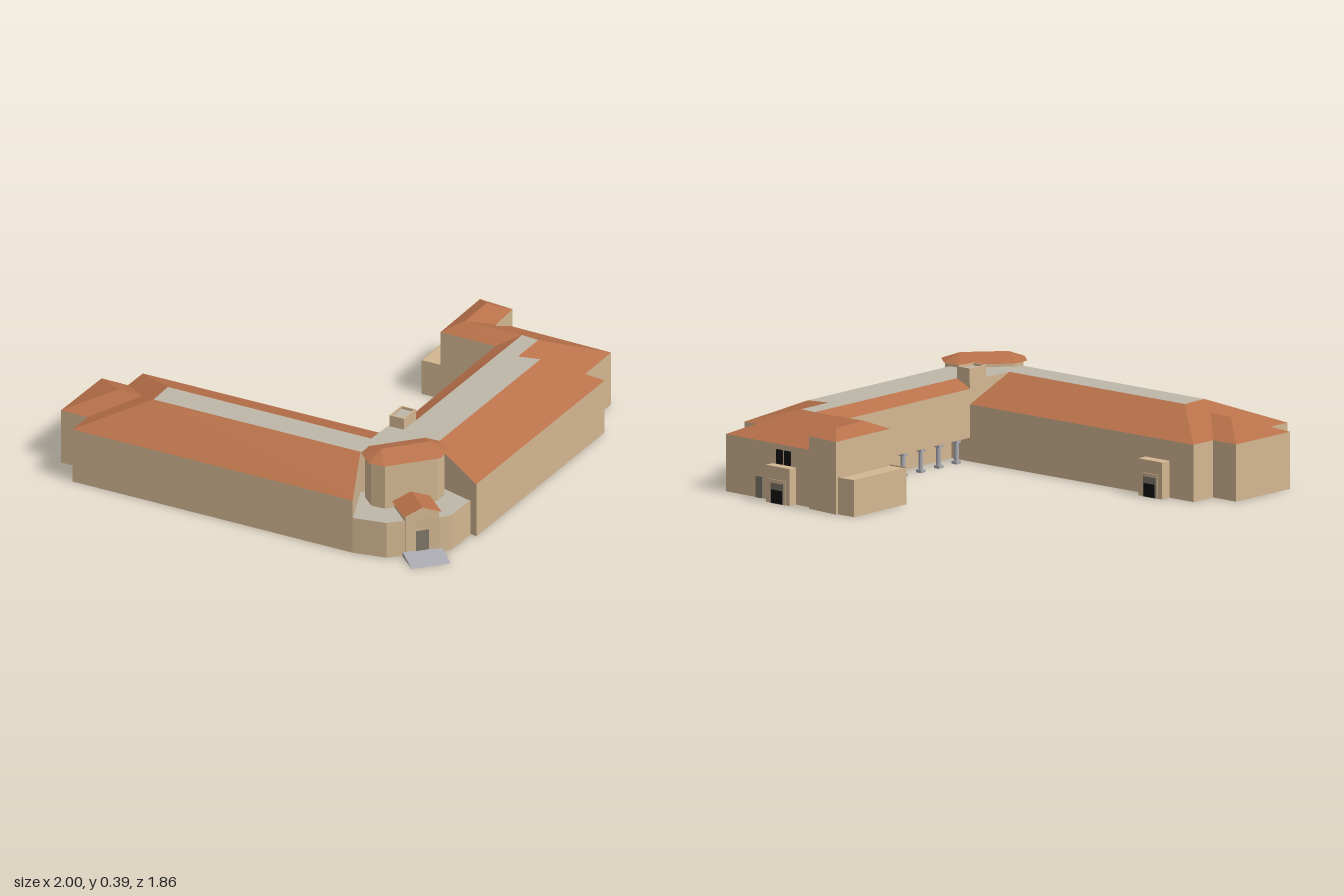
import * as THREE from 'three';

const mat = (color) => new THREE.MeshStandardMaterial({ color, flatShading: true, side: THREE.DoubleSide });
const WALL = mat(0xd2b691), TILE = mat(0xb8714a), DECK = mat(0xbdb7a9), STONE = mat(0xaaaab0),
  DARK = mat(0x111111), DOOR = mat(0x7d7668);
const EAVE = 0.24, HIGH = 0.305, TOP = 0.34, FLOOR = 0.1, LOW = 0.16, TURN = 0.225;

// Plan corners [x, z]
const A = { nw: [-1, -0.714], ne: [-0.433, -0.837], sw: [-0.706, 0.57], se: [-0.155, 0.34],
  f1: [-0.722, -0.516], f2: [-0.599, -0.548], f3: [-0.503, 0.43], f4: [-0.385, 0.382] };
const E = { nw: [-0.904, -0.864], ne: [-0.578, -0.933], sw: [-0.877, -0.741], se: [-0.551, -0.81],
  r1: [-0.7, -0.73], r2: [-0.679, -0.618] };
const B = { sw: [-0.257, 0.848], se: [0.791, 0.612], ne: [0.77, 0.516], in: [0.626, 0.158],
  g1: [-0.246, 0.612], g2: [0.61, 0.42], g3: [0.567, 0.334], g4: [0.733, 0.297], g5: [0.722, 0.217], g6: [-0.144, 0.41] };
const C = { se: [0.995, 0.463], ne: [0.88, -0.08] };
const D = { nw: [0.567, -0.094], ne: [0.898, -0.174], se: [0.92, -0.013], sw: [0.77, 0.029],
  r1: [0.658, -0.04], r2: [0.834, -0.083] };

const at = (p, y) => [p[0], y, p[1]];

// Convex faces, each a list of [x, y, z] corners, as one mesh
function panels(parent, name, material, faces) {
  const pos = [];
  for (const f of faces)
    for (let i = 1; i < f.length - 1; i++) pos.push(...f[0], ...f[i], ...f[i + 1]);
  const g = new THREE.BufferGeometry();
  g.setAttribute('position', new THREE.Float32BufferAttribute(pos, 3));
  g.computeVertexNormals();
  return add(parent, name, g, material);
}

function add(parent, name, geometry, material, x = 0, y = 0, z = 0) {
  const m = new THREE.Mesh(geometry, material);
  m.name = name;
  m.position.set(x, y, z);
  parent.add(m);
  return m;
}

const box = (parent, name, material, w, h, d, x, y, z) =>
  add(parent, name, new THREE.BoxGeometry(w, h, d), material, x, y, z);

// Upright wall along a path of [corner, top height]
function walls(parent, name, path, base = 0) {
  const faces = [];
  for (let i = 0; i < path.length - 1; i++) {
    const [p, a] = path[i], [q, b] = path[i + 1];
    faces.push([at(p, base), at(q, base), at(q, b), at(p, a)]);
  }
  return panels(parent, name, WALL, faces);
}

// Level surface over any outline
function deck(parent, name, material, outline, y) {
  const s = new THREE.Shape(outline.map(([x, z]) => new THREE.Vector2(x, z)));
  return add(parent, name, new THREE.ShapeGeometry(s).rotateX(Math.PI / 2), material, 0, y, 0);
}

function group(parent, name, x, z, turn) {
  const g = new THREE.Group();
  g.name = name;
  g.position.set(x, 0, z);
  g.rotation.y = turn;
  parent.add(g);
  return g;
}

// Low entrance block with a doorway in its outer face
function entrance(parent, name, x, z) {
  const g = group(parent, name, x, z, TURN);
  box(g, 'entranceBlock', WALL, 0.06, 0.155, 0.13, 0, 0.0775, 0);
  box(g, 'doorFrame', WALL, 0.006, 0.1, 0.084, 0.031, 0.05, 0);
  box(g, 'doorway', DOOR, 0.006, 0.086, 0.068, 0.033, 0.043, 0);
  box(g, 'doorGlass', DARK, 0.006, 0.055, 0.058, 0.035, 0.03, 0);
  return g;
}

// Chamfered oblong outline
function octagon(w, d, c) {
  return [[-w + c, -d], [w - c, -d], [w, -d + c], [w, d - c], [w - c, d], [-w + c, d], [-w, d - c], [-w, -d + c]];
}

export function createModel() {
  const model = new THREE.Group();
  model.name = 'building';

  // Long wing and its rear extension
  walls(model, 'longWingWalls', [[A.f3, TOP], [A.sw, EAVE], [A.nw, EAVE], [E.sw, EAVE], [E.nw, EAVE],
    [E.ne, EAVE], [E.se, EAVE], [A.ne, EAVE], [A.se, EAVE], [[-0.133, 0.44], EAVE]]);
  panels(model, 'longWingRoof', TILE, [
    [at(A.sw, EAVE), at(A.nw, EAVE), at(A.f1, TOP), at(A.f3, TOP)],
    [at(A.nw, EAVE), at(A.ne, EAVE), at(A.f2, TOP), at(A.f1, TOP)],
    [at(A.ne, EAVE), at(A.se, EAVE), at(A.f4, TOP), at(A.f2, TOP)]]);
  panels(model, 'extensionRoof', TILE, [
    [at(E.nw, EAVE), at(E.ne, EAVE), at(E.r1, HIGH)],
    [at(E.sw, EAVE), at(E.nw, EAVE), at(E.r1, HIGH), at(E.r2, HIGH)],
    [at(E.ne, EAVE), at(E.se, EAVE), at(E.r2, HIGH), at(E.r1, HIGH)]]);

  // Front wing and short end wing
  walls(model, 'frontWingWalls', [[A.f3, TOP], [B.g1, TOP], [B.sw, EAVE], [B.se, EAVE], [B.ne, EAVE],
    [C.se, EAVE], [C.ne, EAVE]]);
  walls(model, 'endBlockWalls', [[[0.648, 0.255], FLOOR], [B.in, HIGH], [D.nw, HIGH], [D.ne, HIGH], [D.se, HIGH]]);
  walls(model, 'endBlockSideWall', [[D.se, HIGH], [D.sw, HIGH]], 0.2);
  walls(model, 'endBlockSideBase', [[D.se, 0.2], [[0.897, -0.005], 0.2]]);
  walls(model, 'junctionWall', [[A.f4, TOP], [A.se, TOP], [B.g6, TOP]], EAVE);
  panels(model, 'frontWingRoof', TILE, [
    [at(B.sw, EAVE), at(B.se, EAVE), at(B.g2, TOP), at(B.g1, TOP)],
    [at(B.se, EAVE), at(B.ne, EAVE), at(B.g3, TOP), at(B.g2, TOP)],
    [at(A.se, HIGH), at(B.g6, TOP), at(B.g5, TOP), at(B.in, HIGH)]]);
  panels(model, 'endWingRoof', TILE, [
    [at(B.ne, EAVE), at(C.se, EAVE), at(B.g4, TOP), at(B.g3, TOP)],
    [at(C.se, EAVE), at(C.ne, EAVE), at(D.r1, TOP), at(B.g5, TOP), at(B.g4, TOP)],
    [at(B.in, HIGH), at(B.g5, TOP), at(D.r1, TOP), at(D.nw, HIGH)],
    [at(D.nw, HIGH), at(D.r1, TOP), at(D.r2, TOP), at(D.ne, HIGH)],
    [at(D.ne, HIGH), at(D.r2, TOP), at(D.se, HIGH)],
    [at(D.se, HIGH), at(D.r2, TOP), at(D.r1, TOP), at(D.sw, HIGH)]]);
  deck(model, 'flatRoof', DECK, [A.f1, A.f2, A.f4, A.se, B.g6, B.g5, B.g4, B.g3, B.g2, B.g1, A.f3], TOP);

  // Upper floor carried over an arcade of columns
  const back = [[-0.133, 0.44], [0.648, 0.255]];
  walls(model, 'upperFloorWall', [[A.se, HIGH], [B.in, HIGH]], FLOOR);
  walls(model, 'arcadeBackWall', [[back[0], FLOOR], [back[1], FLOOR]]);
  deck(model, 'arcadeCeiling', WALL, [A.se, B.in, back[1], back[0]], FLOOR);
  const shaft = new THREE.CylinderGeometry(0.01, 0.01, FLOOR, 10);
  const cap = new THREE.BoxGeometry(0.028, 0.012, 0.028);
  for (let i = 0; i < 7; i++) {
    const t = (i + 0.6) / 7.2;
    const g = group(model, 'column', THREE.MathUtils.lerp(A.se[0], B.in[0], t) + 0.004,
      THREE.MathUtils.lerp(A.se[1], B.in[1], t) + 0.016, TURN);
    add(g, 'columnShaft', shaft, STONE, 0, FLOOR / 2, 0);
    add(g, 'columnBase', cap, STONE, 0, 0.006, 0);
    add(g, 'columnCapital', cap, STONE, 0, FLOOR - 0.006, 0);
  }

  // Terrace behind the end block
  const T = [D.nw, [0.545, -0.18], [0.866, -0.254], [0.888, -0.174]];
  walls(model, 'terraceWalls', T.map((p) => [p, 0.155]));
  deck(model, 'terraceTop', WALL, T, 0.15);

  // Entrances and the windows over the end wing's door
  entrance(model, 'longWingEntrance', -0.372, -0.652);
  const side = entrance(model, 'endWingEntrance', 0.938, 0.145);
  for (const s of [-1, 1]) box(side, 'upperWindow', DARK, 0.01, 0.06, 0.032, -0.008, 0.188, s * 0.022);
  const rear = group(model, 'sideDoor', 0.957, 0.28, TURN);
  box(rear, 'sideDoorPanel', DOOR, 0.008, 0.09, 0.035, 0, 0.045, 0);

  // Chimney block with a sunken top
  const ch = group(model, 'chimney', -0.195, 0.385, TURN);
  box(ch, 'chimneyCore', DECK, 0.085, 0.045, 0.06, 0, 0.3575, 0);
  for (const s of [-1, 1]) {
    box(ch, 'chimneySide', WALL, 0.1, 0.06, 0.006, 0, 0.36, s * 0.031);
    box(ch, 'chimneyEnd', WALL, 0.006, 0.06, 0.062, s * 0.047, 0.36, 0);
  }

  // Low corner rooms with a flat roof
  const L = [A.sw, [-0.647, 0.703], [-0.583, 0.746], [-0.465, 0.832], [-0.412, 0.853], [-0.26, 0.82]];
  walls(model, 'cornerWalls', L.map((p) => [p, LOW]));
  deck(model, 'cornerRoof', DECK, [...L, B.g1, A.f3], LOW - 0.006);

  // Corner tower with a hipped roof
  const tower = group(model, 'cornerTower', -0.406, 0.586, -0.52);
  const wallRing = octagon(0.158, 0.086, 0.045);
  walls(tower, 'towerWalls', [...wallRing, wallRing[0]].map((p) => [p, 0.357]));
  const ring = octagon(0.172, 0.098, 0.05);
  const peak = (p) => [Math.sign(p[0]) * 0.1, 0.387, 0];
  panels(tower, 'towerRoof', TILE, ring.map((p, i) => {
    const q = ring[(i + 1) % 8];
    const f = [at(p, 0.355), at(q, 0.355), peak(q)];
    return p[0] * q[0] < 0 ? [...f, peak(p)] : f;
  }));

  // Gabled porch with door and ramp
  const W = 0.072, F = 0.232;
  panels(tower, 'porchWalls', WALL, [
    [[-W, 0, F], [W, 0, F], [W, 0.185, F], [0, 0.213, F], [-W, 0.185, F]],
    ...[-W, W].map((x) => [[x, 0, 0.08], [x, 0, F], [x, 0.185, F], [x, 0.185, 0.08]])]);
  panels(tower, 'porchRoof', TILE, [-1, 1].map((s) =>
    [[0, 0.216, 0.08], [0, 0.216, F + 0.008], [s * 0.082, 0.183, F + 0.008], [s * 0.082, 0.183, 0.08]]));
  box(tower, 'porchDoorFrame', WALL, 0.068, 0.118, 0.008, 0, 0.059, F);
  box(tower, 'porchDoor', DOOR, 0.056, 0.11, 0.008, 0, 0.055, F + 0.002);
  const R = 0.084, Z = F + 0.118;
  panels(tower, 'ramp', STONE, [
    [[-R, 0.02, F], [R, 0.02, F], [R, 0, Z], [-R, 0, Z]],
    [[-R, 0, F], [R, 0, F], [R, 0, Z], [-R, 0, Z]],
    ...[-R, R].map((x) => [[x, 0, F], [x, 0.02, F], [x, 0, Z]])]);

  return model;
}
